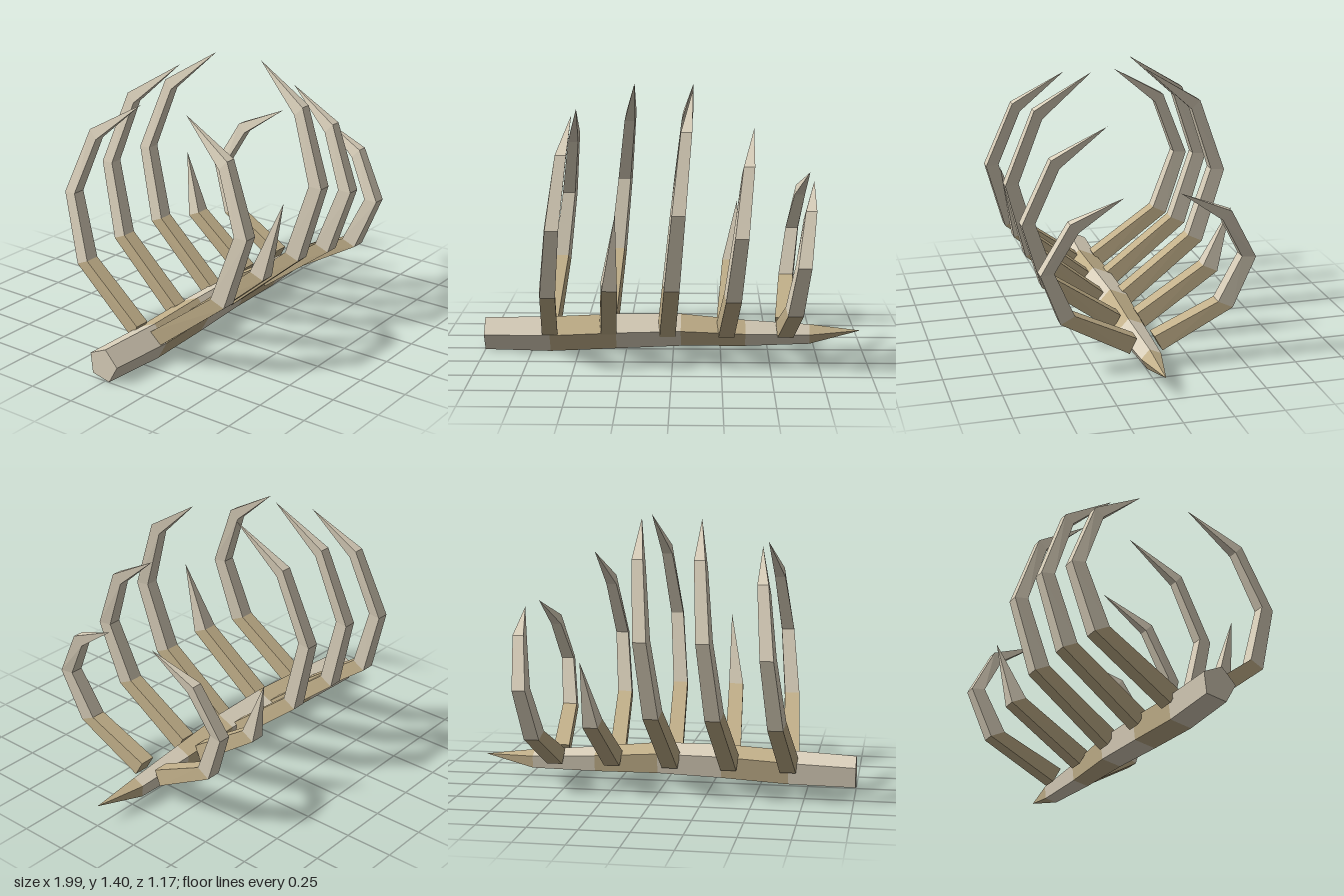
import * as THREE from 'three';

const bone = new THREE.MeshStandardMaterial({ name: 'paleBone', color: 0xd9cfba, flatShading: true });
const tan = new THREE.MeshStandardMaterial({ name: 'tanBone', color: 0xc2b08a, flatShading: true });
const palette = [bone, tan];

// Faceted skin through a list of rings; a one-point ring makes a tip.
// colours[i] is the palette index of the segment between ring i and i + 1.
function loft(name, rings, colours) {
  const segments = colours.map(() => []);
  const n = rings[0].length;
  for (let i = 0; i < rings.length - 1; i++) {
    const a = rings[i], b = rings[i + 1];
    for (let j = 0; j < n; j++) {
      const k = (j + 1) % n;
      if (b.length === 1) segments[i].push([a[j], a[k], b[0]]);
      else segments[i].push([a[j], a[k], b[k]], [a[j], b[k], b[j]]);
    }
  }
  for (let j = 1; j < n - 1; j++) segments[0].push([rings[0][0], rings[0][j + 1], rings[0][j]]);

  // A negative volume means the ring order faces inward, so flip it
  let volume = 0;
  for (const [a, b, c] of segments.flat()) volume += a.dot(b.clone().cross(c));

  const points = [];
  const geometry = new THREE.BufferGeometry();
  segments.forEach((triangles, i) => {
    geometry.addGroup(points.length, triangles.length * 3, colours[i]);
    for (const [a, b, c] of triangles) points.push(...(volume < 0 ? [a, c, b] : [a, b, c]));
  });
  geometry.setFromPoints(points);
  geometry.computeVertexNormals();
  const mesh = new THREE.Mesh(geometry, palette);
  mesh.name = name;
  return mesh;
}

// Five-sided backbone: x, centre y, centre z, radius
function makeSpine() {
  const stations = [
    [-1, 0.085, -0.012, 0.09],
    [-0.65, 0.09, 0.01, 0.097],
    [-0.3, 0.108, 0.015, 0.097],
    [0.04, 0.115, 0.01, 0.09],
    [0.38, 0.098, 0.007, 0.073],
    [0.72, 0.09, -0.003, 0.055],
  ];
  const rings = stations.map(([x, y, z, r]) =>
    Array.from({ length: 5 }, (_, i) => {
      const angle = THREE.MathUtils.degToRad(12 + i * 72);
      return new THREE.Vector3(x, y + r * Math.cos(angle), z + r * Math.sin(angle));
    }));
  rings.push([new THREE.Vector3(0.99, 0.11, 0.005)]);
  return loft('spine', rings, [0, 1, 0, 1, 0, 1]);
}

// Four-sided rib; size 0 is the smallest and 1 the largest
function makeRib(name, x, size, side, broken) {
  const mix = (a, b) => a + (b - a) * size;
  // x offset, width, outer z and y, then the step to the inner edge in z and y
  const joints = [
    [0, 0.083, 0.085, 0.09, -0.04, 0.075],
    [0.03, 0.078, mix(0.44, 0.48), mix(0.295, 0.43), -0.074, 0.034],
    [0.066, 0.068, mix(0.543, 0.585), mix(0.565, 0.83), -0.07, 0.005],
    [0.102, 0.056, mix(0.402, 0.437), mix(0.823, 1.22), -0.043, -0.046],
  ];
  const rings = joints.slice(0, broken ? 2 : 4).map(([dx, w, z, y, dz, dy]) => {
    const at = (px, pz, py) => new THREE.Vector3(x + dx + px, py, side * pz);
    return [
      at(-w / 2, z, y),
      at(w / 2, z, y),
      at(w / 2 - 0.008, z + dz, y + dy),
      at(-w / 2 - 0.008, z + dz, y + dy),
    ];
  });
  rings.push([broken
    ? new THREE.Vector3(x + 0.065, joints[2][3], side * (joints[2][2] - 0.038))
    : new THREE.Vector3(x + 0.133, mix(0.935, 1.405), side * 0.14)]);
  return loft(name, rings, broken ? [1, 0] : [1, 0, 0, 0]);
}

export function createModel() {
  const model = new THREE.Group();
  model.name = 'ribcage';
  model.add(makeSpine());

  // Five rib pairs, with one snapped rib on each side
  const sizes = [0.71, 1, 1, 0.57, 0];
  sizes.forEach((size, i) => {
    const x = -0.65 + i * 0.31;
    model.add(makeRib(`frontRib${i + 1}`, x, size, 1, i === 1));
    model.add(makeRib(`backRib${i + 1}`, x, size, -1, i === 3));
  });
  return model;
}
